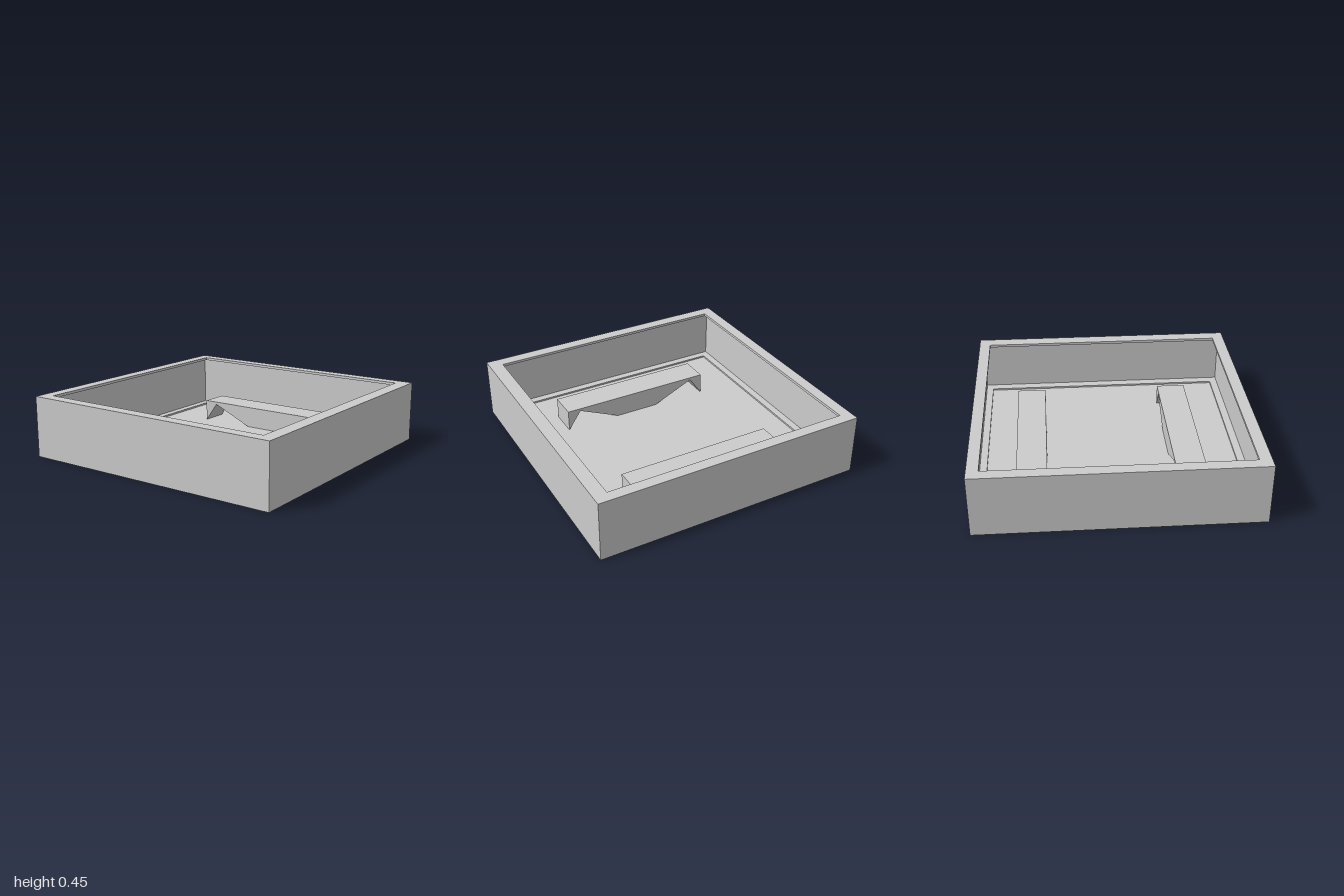
import * as THREE from 'three';

const H = 0.45, FLOOR = 0.03, RIM = 0.02, WALL = 0.97;

// Corner points of a rectangle on the ground plan (plan y is -z)
const rect = (x0, x1, z0, z1) => [
  new THREE.Vector2(x0, -z1), new THREE.Vector2(x1, -z1),
  new THREE.Vector2(x1, -z0), new THREE.Vector2(x0, -z0),
];

// Flat-lying slab between two heights, with an optional opening
function slab(outer, inner, y0, y1) {
  const shape = new THREE.Shape(outer);
  if (inner) shape.holes.push(new THREE.Path(inner));
  const geo = new THREE.ExtrudeGeometry(shape, { depth: y1 - y0, bevelEnabled: false });
  return geo.rotateX(-Math.PI / 2).translate(0, y0, 0);
}

export function createModel() {
  const model = new THREE.Group();
  model.name = 'openTray';
  const mat = new THREE.MeshStandardMaterial({ color: 0xcccccc, flatShading: true });
  const add = (name, geo) => {
    const mesh = new THREE.Mesh(geo, mat);
    mesh.name = name;
    model.add(mesh);
  };

  const full = rect(-1, 1, -1, 1);
  const wallInside = rect(-WALL, WALL, -WALL, WALL);
  const opening = rect(-0.913, 0.917, -0.914, 0.9);

  // Thin-walled case with lips overhanging at the top and bottom
  add('floor', slab(full, null, 0, FLOOR));
  add('walls', slab(full, wallInside, FLOOR, H - RIM));
  add('topRim', slab(full, opening, H - RIM, H));
  add('bottomLedge', slab(wallInside, opening, FLOOR, 0.043));

  // Support rails: flat top, pointed end feet, wide centre foot, sloped notches
  const half = [[0.17, FLOOR + 0.003], [0.485, 0.173], [0.585, FLOOR]];
  const profile = [
    ...half.slice().reverse().map(([z, y]) => [-z, y]), ...half,
    [0.585, 0.192], [-0.585, 0.192],
  ].map(([z, y]) => new THREE.Vector2(z, y));
  for (const [name, x] of [['rightRail', -0.635], ['leftRail', 0.48]]) {
    const geo = new THREE.ExtrudeGeometry(new THREE.Shape(profile), { depth: 0.215, bevelEnabled: false });
    add(name, geo.rotateY(Math.PI / 2).translate(x, 0, 0));
  }
  return model;
}
